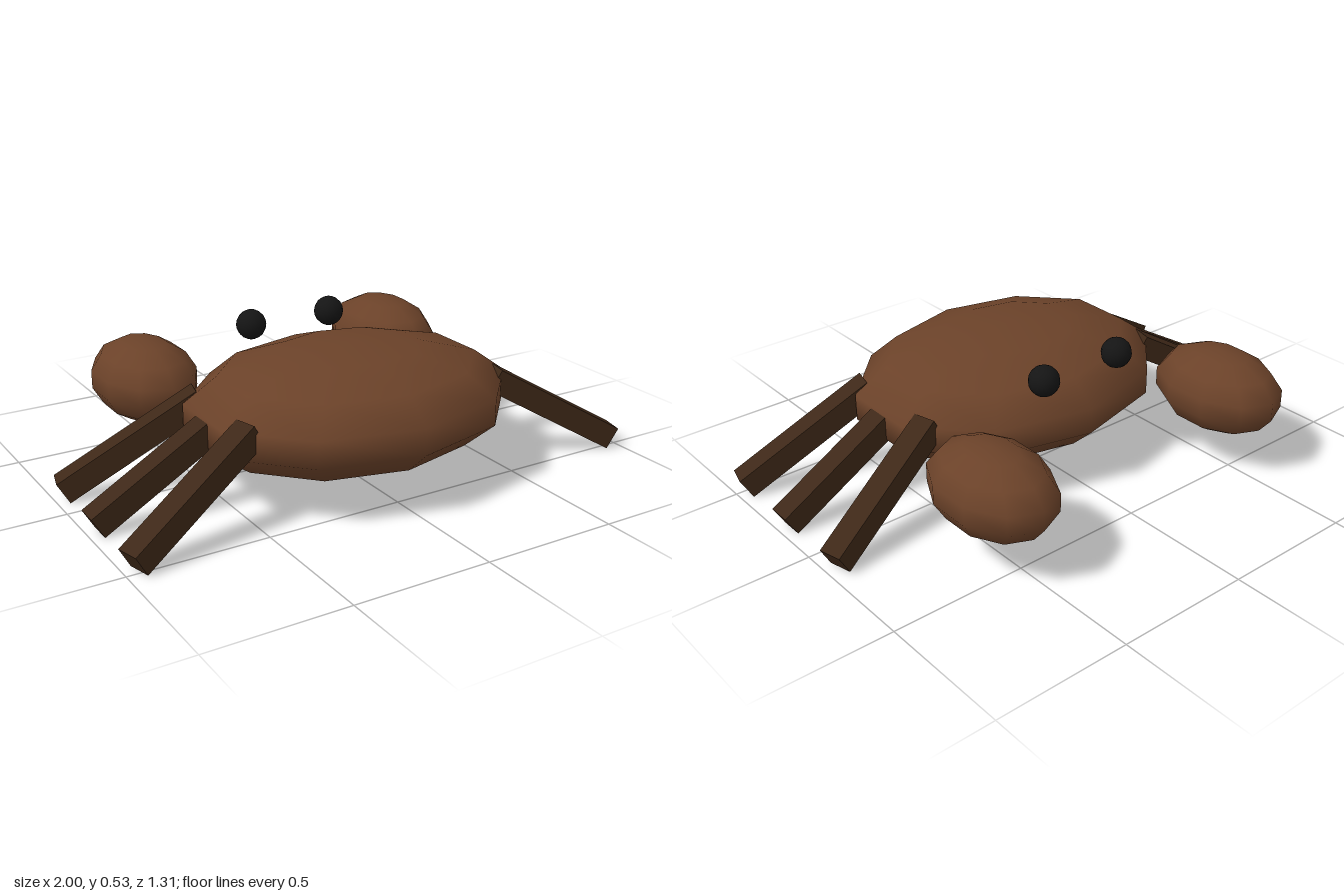
import * as THREE from 'three';

const shellMat = new THREE.MeshStandardMaterial({ color: 0x6b4229 });
const legMat = new THREE.MeshStandardMaterial({ color: 0x3e2818 });
const eyeMat = new THREE.MeshStandardMaterial({ color: 0x151515 });

// Low-poly smooth ellipsoid, ten sides around, with a corner at each z end
function ellipsoid(rx, ry, rz) {
  return new THREE.SphereGeometry(1, 10, 7).rotateY(Math.PI / 2).scale(rx, ry, rz);
}

export function createModel() {
  const crab = new THREE.Group();
  crab.name = 'crab';

  function add(name, geometry, material, x, y, z) {
    const mesh = new THREE.Mesh(geometry, material);
    mesh.name = name;
    mesh.position.set(x, y, z);
    crab.add(mesh);
    return mesh;
  }

  // Flattened shell
  add('body', ellipsoid(0.625, 0.215, 0.482), shellMat, 0, 0.277, 0.185);

  const clawGeo = ellipsoid(0.19, 0.153, 0.267);
  const eyeGeo = new THREE.SphereGeometry(0.056, 14, 10);
  const legGeo = new THREE.BoxGeometry(0.568, 0.086, 0.086);

  for (const side of [1, -1]) {
    const label = side > 0 ? 'left' : 'right';
    add(label + 'Claw', clawGeo, shellMat, side * 0.53, 0.277, -0.395);
    add(label + 'Eye', eyeGeo, eyeMat, side * 0.168, 0.47, -0.225);

    // Three legs sloping to the ground, the outer two fanned apart
    for (const fan of [-1, 0, 1]) {
      const leg = add(label + 'Leg' + (fan + 2), legGeo, legMat,
        side * 0.732, 0.179, 0.185 + fan * 0.245);
      leg.rotation.set(0, -side * fan * 0.25, -side * Math.PI / 6, 'YZX');
    }
  }
  return crab;
}
